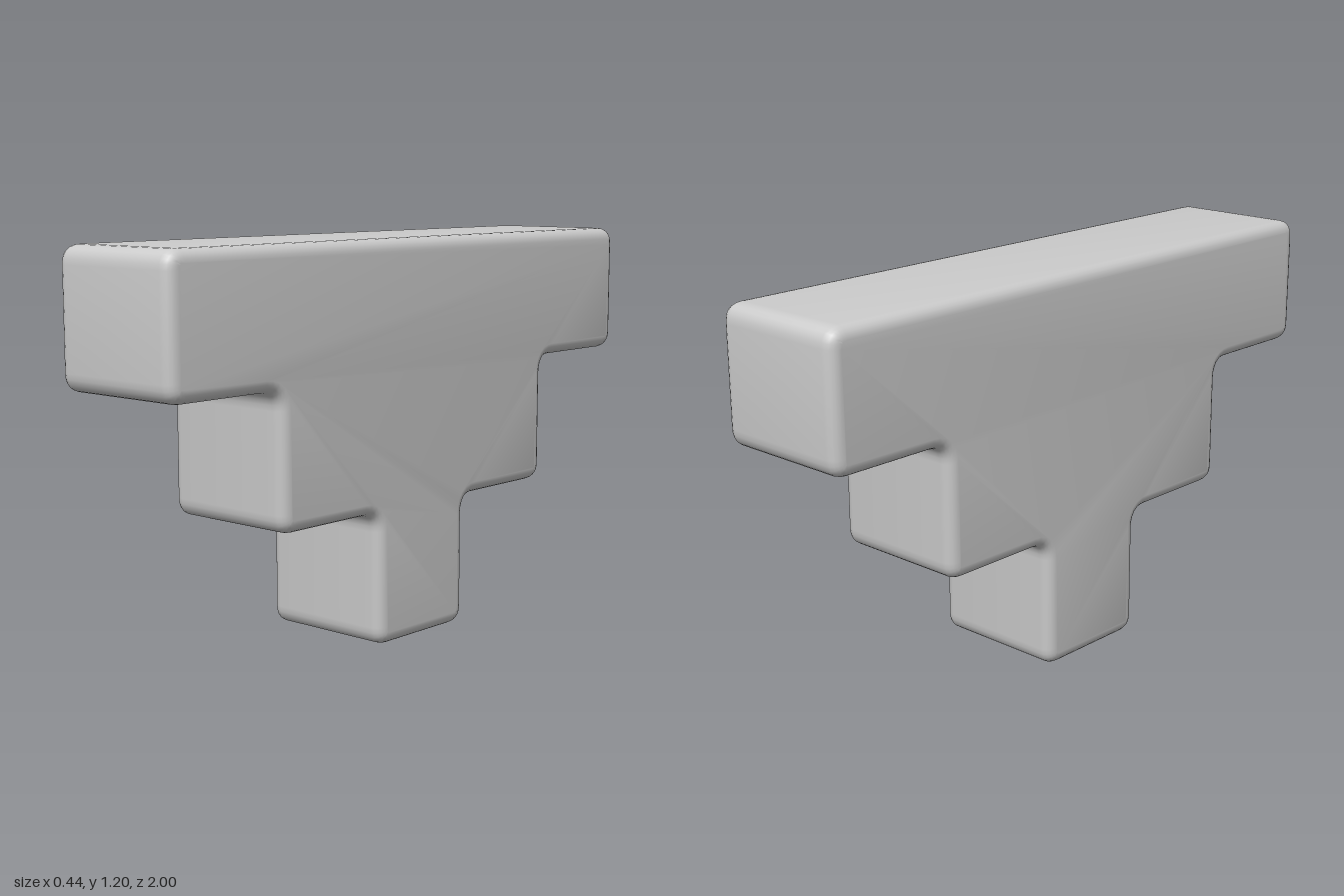
import * as THREE from 'three';
import { toCreasedNormals } from 'three/addons/utils/BufferGeometryUtils.js';

// Closed outline whose corners, inner and outer, are all softened by r
function roundedOutline(points, r) {
  const pts = points.map(([x, y]) => new THREE.Vector2(x, y));
  const toward = (a, b) => b.clone().sub(a).setLength(r).add(a);
  const shape = new THREE.Shape();
  pts.forEach((p, i) => {
    const start = toward(p, pts[(i + pts.length - 1) % pts.length]);
    const end = toward(p, pts[(i + 1) % pts.length]);
    if (i === 0) shape.moveTo(start.x, start.y);
    else shape.lineTo(start.x, start.y);
    shape.quadraticCurveTo(p.x, p.y, end.x, end.y);
  });
  shape.closePath();
  return shape;
}

export function createModel() {
  const group = new THREE.Group();
  group.name = 'steppedBlock';

  const width = 0.444;
  const bevel = 0.036;

  // Half profile of the inverted steps, mirrored to the other side
  const half = [[0.2, 0], [0.2, 0.4], [0.6, 0.4], [0.6, 0.8], [1, 0.8], [1, 1.2]];
  const mirrored = half.map(([x, y]) => [-x, y]).reverse();

  const extruded = new THREE.ExtrudeGeometry(roundedOutline([...half, ...mirrored], 0.055), {
    depth: width - 2 * bevel,
    bevelThickness: bevel,
    bevelSize: bevel,
    bevelOffset: -bevel,
    bevelSegments: 5,
    curveSegments: 6,
  });
  extruded.translate(0, 0, bevel - width / 2);
  extruded.rotateY(Math.PI / 2);

  const block = new THREE.Mesh(
    toCreasedNormals(extruded, 0.7),
    new THREE.MeshStandardMaterial({ color: 0xcccccc }),
  );
  block.name = 'invertedSteps';
  // The bevel spans [0, depth] plus its thickness at both ends
  block.geometry.computeBoundingBox();
  const centre = block.geometry.boundingBox.getCenter(new THREE.Vector3());
  block.geometry.translate(-centre.x, 0, -centre.z);
  group.add(block);
  return group;
}
